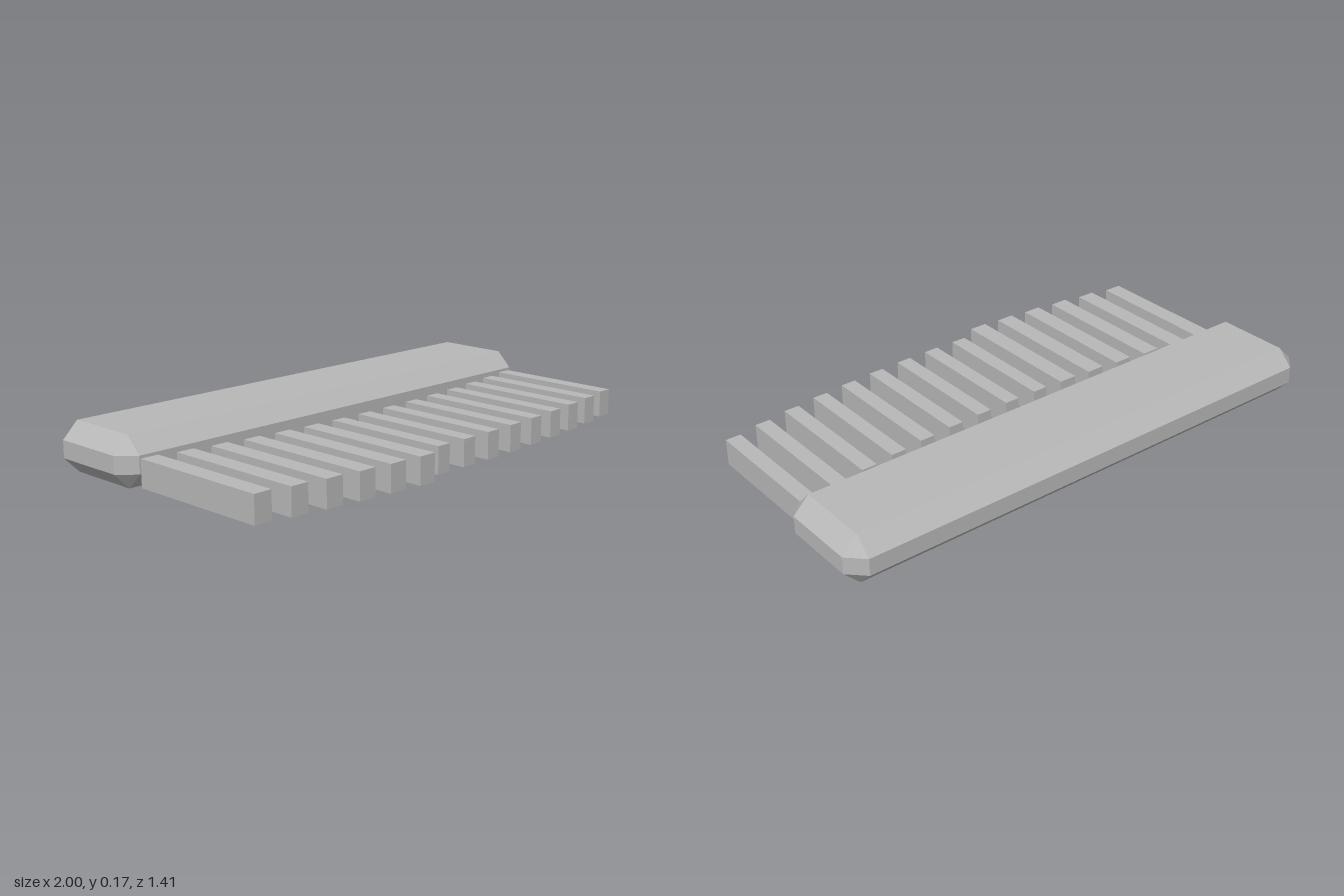
import * as THREE from 'three';
import { ConvexGeometry } from 'three/addons/geometries/ConvexGeometry.js';

// Box with every edge cut by one flat chamfer.
function chamferedBox(w, h, d, c) {
  const points = [];
  for (const x of [-1, 1]) for (const y of [-1, 1]) for (const z of [-1, 1]) {
    const corner = [x * w / 2, y * h / 2, z * d / 2];
    const sign = [x, y, z];
    for (let outer = 0; outer < 3; outer++) {
      points.push(new THREE.Vector3(...corner.map((v, k) => (k === outer ? v : v - sign[k] * c))));
    }
  }
  return new ConvexGeometry(points);
}

export function createModel() {
  const model = new THREE.Group();
  model.name = 'comb';
  const grey = new THREE.MeshStandardMaterial({ color: 0xb8b8b8, flatShading: true });
  grey.name = 'plain grey';

  // The whole comb lies turned on the ground.
  const comb = new THREE.Group();
  comb.name = 'turnedComb';
  comb.rotation.y = THREE.MathUtils.degToRad(18);
  model.add(comb);

  // Spine
  const spine = new THREE.Mesh(chamferedBox(1.908, 0.172, 0.377, 0.056), grey);
  spine.name = 'spine';
  spine.position.set(0.03, 0.086, -0.249);
  comb.add(spine);

  // Teeth, set on a shallow arc; the first six are coarser and longer.
  const teeth = new THREE.Group();
  teeth.name = 'teeth';
  comb.add(teeth);
  for (let i = 0; i < 15; i++) {
    const coarse = i < 6;
    const width = coarse ? 0.066 : 0.055;
    const length = coarse ? 0.518 : 0.473;
    const t = (i - 7) / 7;
    const root = 0.02 - 0.08 * t * t;
    const tooth = new THREE.Mesh(new THREE.BoxGeometry(width, 0.094, length), grey);
    tooth.name = coarse ? 'coarseTooth' : 'fineTooth';
    tooth.position.set(-0.83 + i * 0.123, 0.059, root + length / 2);
    teeth.add(tooth);
  }
  return model;
}
